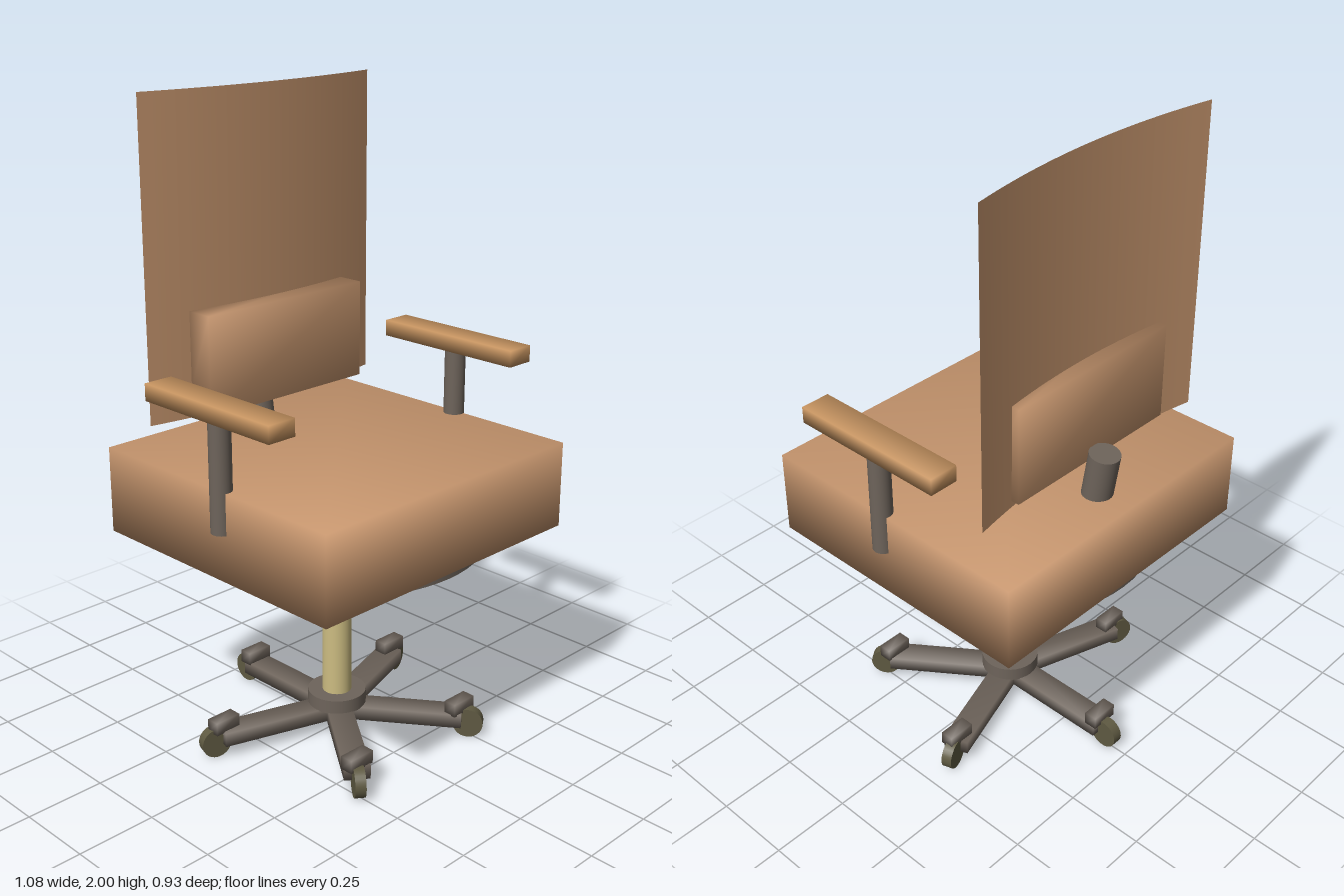
import * as THREE from 'three';
import { mergeVertices } from 'three/addons/utils/BufferGeometryUtils.js';

const mat = (color) => new THREE.MeshStandardMaterial({ color });
const fabric = mat(0xc8976f);
const armPad = mat(0xc4925f);
const metal = mat(0x6e645b);
const brass = mat(0xcdbd82);
const rubber = mat(0x5f5a42);

// Box with shared corners, so the shading runs softly around its edges
function softBox(w, h, d) {
  const box = new THREE.BoxGeometry(w, h, d);
  box.deleteAttribute('normal');
  box.deleteAttribute('uv');
  const soft = mergeVertices(box);
  soft.computeVertexNormals();
  return soft;
}

function add(parent, name, geometry, material, x = 0, y = 0, z = 0) {
  const mesh = new THREE.Mesh(geometry, material);
  mesh.name = name;
  mesh.position.set(x, y, z);
  parent.add(mesh);
  return mesh;
}

export function createModel() {
  const chair = new THREE.Group();
  chair.name = 'officeChair';

  // Seat and the round plate below it
  add(chair, 'seat', softBox(1, 0.27, 0.93), fabric, 0, 0.815, 0);
  add(chair, 'seatPlate', new THREE.CylinderGeometry(0.457, 0.457, 0.03, 64), metal, 0, 0.675, 0);

  // Thin back panel, bowed forward in the middle
  const panel = new THREE.PlaneGeometry(0.9, 0.96, 24, 1);
  const p = panel.attributes.position;
  for (let i = 0; i < p.count; i++) {
    p.setZ(i, -0.045 * (p.getX(i) / 0.45) ** 2);
  }
  panel.computeVertexNormals();
  const panelMaterial = fabric.clone();
  panelMaterial.side = THREE.DoubleSide;
  add(chair, 'backPanel', panel, panelMaterial, 0, 1.52, -0.276);

  // Lumbar cushion, passing through the panel
  add(chair, 'lumbarCushion', softBox(0.62, 0.305, 0.113), fabric, 0, 1.213, -0.267);

  // Leaning post that carries the back
  const post = add(chair, 'backPost', new THREE.CylinderGeometry(0.047, 0.047, 0.462, 32), metal, 0, 0.867, -0.332);
  post.rotation.x = -0.154;

  // Armrests
  for (const [side, s] of [['left', 1], ['right', -1]]) {
    add(chair, side + 'ArmPad', softBox(0.094, 0.052, 0.517), armPad, s * 0.492, 1.187, 0.036);
    add(chair, side + 'ArmPost', new THREE.CylinderGeometry(0.033, 0.033, 0.345, 24), metal, s * 0.489, 0.997, 0.038);
  }

  // Centre column and hub
  add(chair, 'column', new THREE.CylinderGeometry(0.046, 0.046, 0.58, 32), brass, 0, 0.38, 0);
  add(chair, 'hub', new THREE.CylinderGeometry(0.092, 0.092, 0.045, 32), metal, 0, 0.107, 0);

  // Five-legged base, one leg pointing straight back
  const wheel = new THREE.CylinderGeometry(0.0475, 0.0475, 0.033, 28).rotateZ(Math.PI / 2);
  const legShape = softBox(0.08, 0.045, 0.4);
  const blockShape = softBox(0.09, 0.042, 0.043);
  for (let i = 0; i < 5; i++) {
    const angle = Math.PI + (i * 2 * Math.PI) / 5;
    const leg = new THREE.Group();
    leg.name = 'baseLeg' + (i + 1);
    leg.rotation.y = angle;
    add(leg, 'spoke', legShape, metal, 0, 0.064, 0.2);
    add(leg, 'caster', wheel, rubber, 0, 0.0475, 0.42);
    chair.add(leg);
    // Blocks stay square to the chair
    add(chair, 'casterBlock' + (i + 1), blockShape, metal, 0.39 * Math.sin(angle), 0.104, 0.39 * Math.cos(angle));
  }
  return chair;
}
